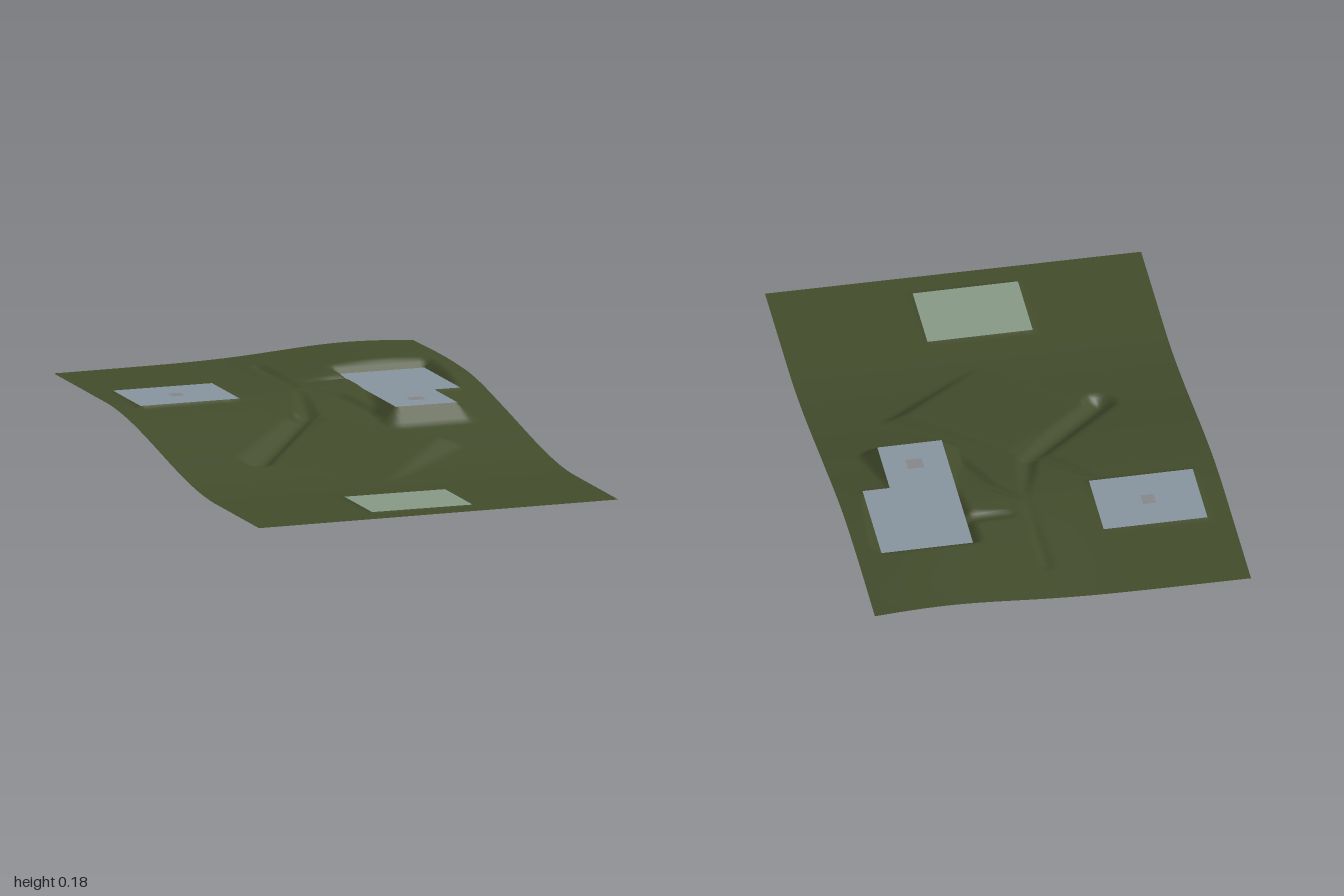
import * as THREE from 'three';

const W = 0.643, L = 1, STEP = 0.0125;
const { clamp, smoothstep } = THREE.MathUtils;

// Level pads: rectangles [x0, x1, z0, z1], their height and square openings
const PADS = [
  { name: 'leftPlot', mat: 'slate', y: 0.146, rects: [[-0.56, -0.205, -0.65, -0.38]], hole: [-0.405, -0.36, -0.54, -0.49] },
  { name: 'rightPlot', mat: 'slate', y: 0.146, rects: [[0.24, 0.46, -0.645, -0.07], [0.46, 0.553, -0.645, -0.295]], hole: [0.325, 0.38, -0.205, -0.155] },
  { name: 'frontPlot', mat: 'sage', y: 0.009, rects: [[-0.205, 0.155, 0.64, 0.91]] },
];

// Ditches: floor points [x, y, z]
const DITCHES = [
  [[-0.34, 0.012, 0.17], [-0.03, 0.098, -0.19], [0.02, 0.147, -0.42]],
  [[-0.26, 0.138, -0.37], [-0.07, 0.1, -0.17]],
  [[0.04, 0.147, -0.43], [0.13, 0.13, -0.33], [0.22, 0.088, -0.08]],
  [[0.02, 0.147, -0.82], [0.02, 0.149, -0.45]],
  [[0.09, 0.151, -0.52], [0.24, 0.146, -0.52]],
];

const inside = (r, x, z) => x > r[0] && x < r[1] && z > r[2] && z < r[3];

function rectDistance(r, x, z) {
  return Math.hypot(Math.max(r[0] - x, 0, x - r[1]), Math.max(r[2] - z, 0, z - r[3]));
}

function height(x, z) {
  // Natural hillside with a knoll at the back
  let h = 0.003 + 0.006 * (x + W) / (2 * W) + 0.139 * (1 - smoothstep(z, -0.5, 0.58));
  const knoll = Math.exp(-(((x - 0.4) / 0.34) ** 2));
  h += 0.034 * knoll * (1 - smoothstep(z, -0.7, -0.1)) - 0.006 * knoll * (1 - smoothstep(z, -1, -0.75));

  // Tilted diamond terrace with banked sides
  const d = Math.max(0, Math.abs(x - 0.01) + Math.abs(z - 0.17) - 0.3) / Math.SQRT2;
  const terrace = 0.062 + 0.075 * x - 0.175 * (z - 0.17);
  h = clamp(h, terrace - 0.6 * d, terrace + 0.6 * d);

  // Ditches
  for (const path of DITCHES) {
    for (let i = 0; i + 1 < path.length; i++) {
      const [a, b] = [path[i], path[i + 1]];
      const dx = b[0] - a[0], dz = b[2] - a[2];
      const t = clamp(((x - a[0]) * dx + (z - a[2]) * dz) / (dx * dx + dz * dz), 0, 1);
      const dist = Math.hypot(x - a[0] - t * dx, z - a[2] - t * dz);
      h = Math.min(h, a[1] + t * (b[1] - a[1]) + 0.75 * Math.max(0, dist - 0.01));
    }
  }

  // Cut and fill around the pads
  for (const pad of PADS) {
    const dist = Math.min(...pad.rects.map(r => rectDistance(r, x, z)));
    h = clamp(h, pad.y - 0.9 * dist, pad.y + 0.9 * dist);
  }
  return h;
}

// Grid lines along one axis, including every pad and opening edge
function gridLines(half, offset) {
  const stops = [-half, half];
  for (const pad of PADS) {
    for (const r of [...pad.rects, pad.hole ?? []]) {
      if (r.length) stops.push(r[offset], r[offset + 1]);
    }
  }
  const sorted = [...new Set(stops)].sort((a, b) => a - b);
  const lines = [sorted[0]];
  for (let i = 1; i < sorted.length; i++) {
    const from = sorted[i - 1], n = Math.ceil((sorted[i] - from) / STEP);
    for (let k = 1; k <= n; k++) lines.push(from + (sorted[i] - from) * k / n);
  }
  return lines;
}

// Surface over the grid cells whose centre passes the test
function sheet(xs, zs, test) {
  const positions = [], index = [], ids = new Map();
  const vertex = (i, j) => {
    const key = i * zs.length + j;
    if (!ids.has(key)) {
      ids.set(key, positions.length / 3);
      positions.push(xs[i], height(xs[i], zs[j]), zs[j]);
    }
    return ids.get(key);
  };
  for (let i = 0; i + 1 < xs.length; i++) {
    for (let j = 0; j + 1 < zs.length; j++) {
      if (!test((xs[i] + xs[i + 1]) / 2, (zs[j] + zs[j + 1]) / 2)) continue;
      const a = vertex(i, j), b = vertex(i, j + 1), c = vertex(i + 1, j + 1), e = vertex(i + 1, j);
      index.push(a, b, c, a, c, e);
    }
  }
  const geometry = new THREE.BufferGeometry();
  geometry.setAttribute('position', new THREE.Float32BufferAttribute(positions, 3));
  geometry.setIndex(index);
  geometry.computeVertexNormals();
  return geometry;
}

export function createModel() {
  const material = (name, color) => {
    const m = new THREE.MeshStandardMaterial({ color, side: THREE.DoubleSide });
    m.name = name;
    return m;
  };
  const materials = {
    grass: material('grass', 0x434c2c),
    slate: material('slate', 0x8795a0),
    sage: material('sage', 0x879a86),
  };
  const group = new THREE.Group();
  group.name = 'terrain';
  const xs = gridLines(W, 0), zs = gridLines(L, 2);
  const add = (name, mat, test) => {
    const mesh = new THREE.Mesh(sheet(xs, zs, test), materials[mat]);
    mesh.name = name;
    group.add(mesh);
  };
  const onPad = (pad, x, z) => pad.rects.some(r => inside(r, x, z));

  // Hillside and the level plots set into it
  add('hillside', 'grass', (x, z) => !PADS.some(p => onPad(p, x, z)));
  for (const pad of PADS) {
    add(pad.name, pad.mat, (x, z) => onPad(pad, x, z) && !(pad.hole && inside(pad.hole, x, z)));
  }
  return group;
}
